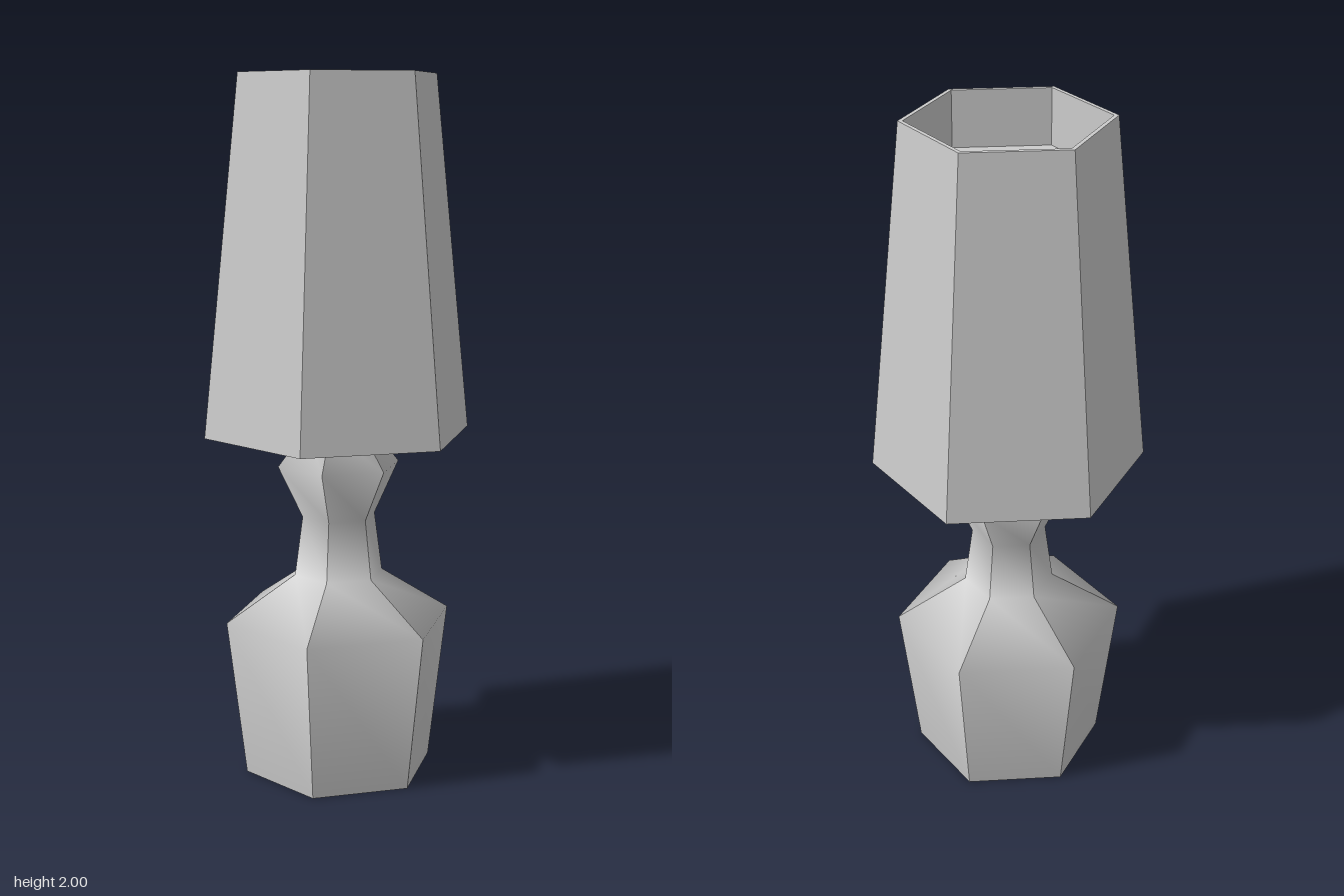
import * as THREE from 'three';
import { mergeGeometries } from 'three/addons/utils/BufferGeometryUtils.js';

const SIDES = 6;
const points = (profile) => profile.map(([r, y]) => new THREE.Vector2(r, y));

// Six separate panels: smooth along the profile, sharp between the sides
function panelled(profile) {
  const panels = [];
  for (let i = 0; i < SIDES; i++) {
    const step = (Math.PI * 2) / SIDES;
    const panel = new THREE.LatheGeometry(points(profile), 1, Math.PI / 2 + i * step, step);
    panel.computeVertexNormals();
    panels.push(panel);
  }
  return mergeGeometries(panels);
}

function addPart(group, name, geometry, flatShading = false) {
  const material = new THREE.MeshStandardMaterial({ color: 0xcccccc, flatShading });
  const mesh = new THREE.Mesh(geometry, material);
  mesh.name = name;
  group.add(mesh);
  return mesh;
}

export function createModel() {
  const lamp = new THREE.Group();
  lamp.name = 'tableLamp';

  // Body with shoulder, waist, knob and the neck that runs up into the shade
  addPart(lamp, 'base', panelled([
    [0.277, 0], [0.332, 0.455], [0.13, 0.585], [0.107, 0.755],
    [0.178, 0.905], [0.093, 1.015], [0.093, 1.25],
  ]));

  // Flat underside of the base
  const foot = new THREE.CircleGeometry(0.277, SIDES);
  foot.rotateX(Math.PI / 2);
  addPart(lamp, 'baseUnderside', foot, true);

  // Shade: hollow underside, thin rims, tapered walls and a sunken top panel
  const shade = new THREE.LatheGeometry(points([
    [0.08, 1.22], [0.373, 0.997], [0.388, 0.997], [0.283, 2],
    [0.27, 2], [0.27, 1.84], [0, 1.84],
  ]), SIDES, Math.PI / 2);
  addPart(lamp, 'shade', shade, true);

  return lamp;
}
